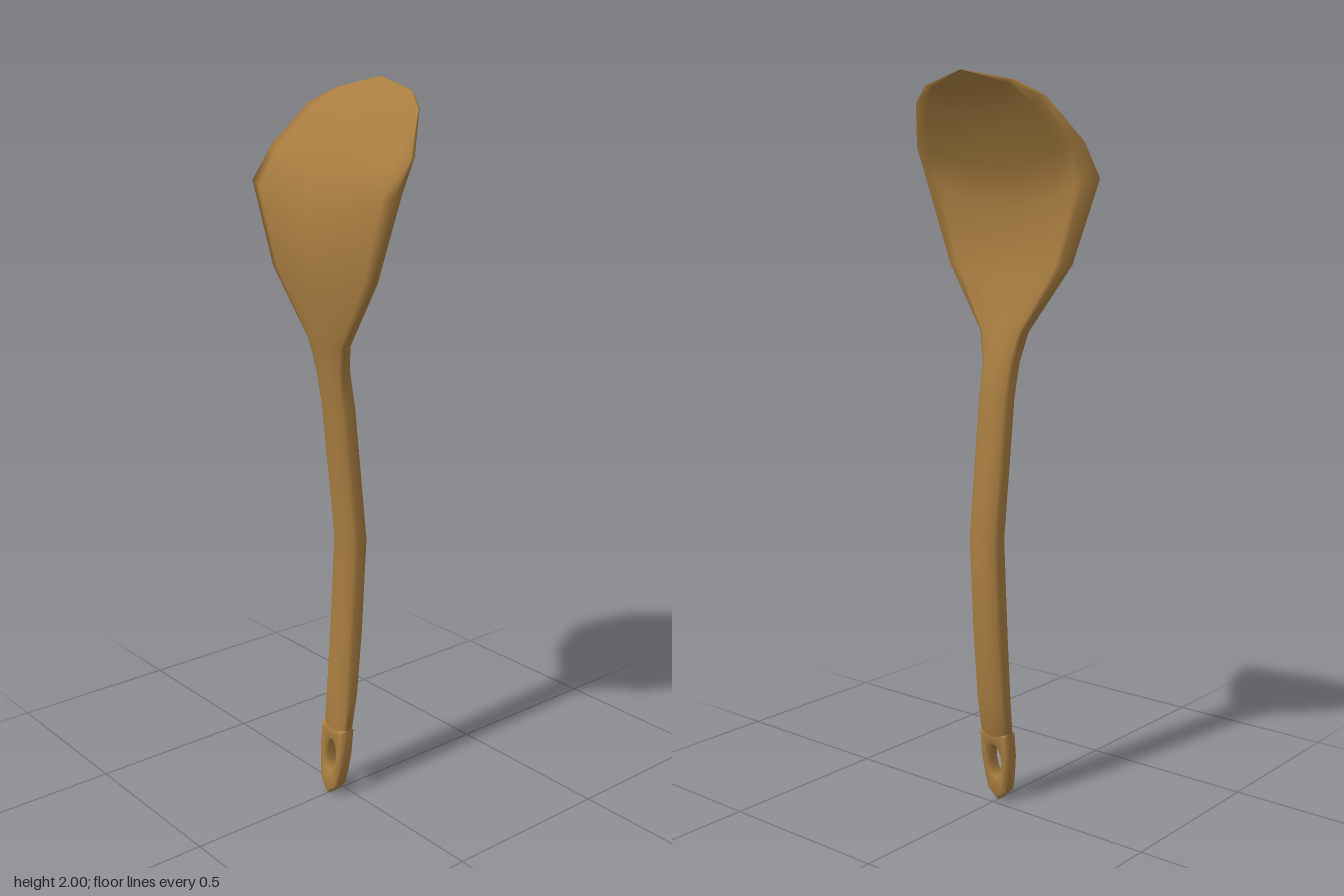
import * as THREE from 'three';
import { toCreasedNormals } from 'three/addons/utils/BufferGeometryUtils.js';

// Cross-sections from handle to tip; each dips from its edges to its centre line:
// [edge y, centre y, half width, back half width, front edge z, back edge z,
//  front centre z, back centre z, front fullness, back fullness]
const ROWS = [
  [0.18, 0.18, 0.048, 0.048, 0.030, 0.012, 0.042, 0.001, 4, 4],
  [0.31, 0.31, 0.049, 0.049, 0.015, -0.007, 0.037, -0.028, 4, 4],
  [0.50, 0.50, 0.049, 0.049, 0.001, -0.023, 0.025, -0.046, 4, 4],
  [0.77, 0.77, 0.049, 0.049, -0.014, -0.038, 0.010, -0.062, 4, 4],
  [1.15, 1.15, 0.050, 0.050, 0.028, 0.004, 0.051, -0.020, 4, 4],
  [1.25, 1.25, 0.055, 0.054, 0.046, 0.022, 0.066, -0.001, 3, 3],
  [1.33, 1.32, 0.075, 0.072, 0.058, 0.034, 0.078, 0.016, 2, 2],
  [1.51, 1.48, 0.206, 0.192, 0.074, 0.046, 0.111, 0.064, 1.4, 2],
  [1.73, 1.66, 0.288, 0.266, 0.078, 0.036, 0.129, 0.088, 1.1, 2],
  [1.82, 1.77, 0.280, 0.260, 0.020, -0.010, 0.080, 0.036, 1.2, 2],
  [1.93, 1.87, 0.218, 0.204, -0.058, -0.074, 0.032, -0.014, 1.3, 2],
  [1.97, 1.95, 0.150, 0.142, -0.098, -0.106, -0.041, -0.076, 1.4, 2],
  [2.00, 2.00, 0.004, 0.004, -0.117, -0.128, -0.115, -0.127, 2, 2],
];

// Skin the cross-sections: a front arc and a back arc per row
function loftGeometry(rows, steps) {
  const pos = [], idx = [], n = 2 * (steps + 1);
  for (const [yEdge, yMid, wF, wB, edgeF, edgeB, midF, midB, fullF, fullB] of rows) {
    for (const [side, w, edge, mid, full] of [[0, wF, edgeF, midF, fullF], [1, wB, edgeB, midB, fullB]]) {
      for (let i = 0; i <= steps; i++) {
        const u = Math.cos(Math.PI * (i / steps + side));
        const bulge = 1 - Math.pow(Math.abs(u), full);
        pos.push(w * u, yEdge + (yMid - yEdge) * bulge, edge + (mid - edge) * bulge);
      }
    }
  }
  for (let r = 0; r < rows.length - 1; r++) {
    for (let j = 0; j < n; j++) {
      const a = r * n + j, b = r * n + (j + 1) % n;
      idx.push(a, a + n, b, b, a + n, b + n);
    }
  }
  // end caps
  const last = (rows.length - 1) * n;
  for (let j = 1; j < n - 1; j++) {
    idx.push(0, j, j + 1, last, last + j + 1, last + j);
  }
  const g = new THREE.BufferGeometry();
  g.setAttribute('position', new THREE.Float32BufferAttribute(pos, 3));
  g.setIndex(idx);
  g.computeVertexNormals();
  return g;
}

// Flat pierced end of the handle, sheared to follow the handle's lean
function handleEndGeometry() {
  const outline = [[0, 0.003], [0.032, 0.032], [0.041, 0.075], [0.049, 0.135], [0.049, 0.21]];
  const mirrored = outline.slice(1).reverse().map(([x, y]) => [-x, y]);
  const shape = new THREE.Shape([...outline, ...mirrored].map(([x, y]) => new THREE.Vector2(x, y)));
  const hole = new THREE.Path();
  hole.absellipse(0, 0.122, 0.021, 0.046, 0, Math.PI * 2, true);
  shape.holes.push(hole);
  const depth = 0.022;
  const g = new THREE.ExtrudeGeometry(shape, {
    depth, curveSegments: 6, bevelEnabled: true,
    bevelThickness: 0.012, bevelSize: 0.01, bevelOffset: -0.01, bevelSegments: 2,
  });
  const p = g.attributes.position;
  for (let i = 0; i < p.count; i++) {
    p.setZ(i, p.getZ(i) - depth / 2 + 0.039 - 0.095 * p.getY(i));
  }
  return toCreasedNormals(g, 0.9);
}

export function createModel() {
  const group = new THREE.Group();
  group.name = 'woodenSpoon';
  const wood = new THREE.MeshStandardMaterial({ color: 0xa87d40 });
  wood.name = 'wood';

  const body = new THREE.Mesh(loftGeometry(ROWS, 6), wood);
  body.name = 'bowlAndHandle';
  const end = new THREE.Mesh(handleEndGeometry(), wood);
  end.name = 'handleEnd';
  group.add(body, end);
  return group;
}
